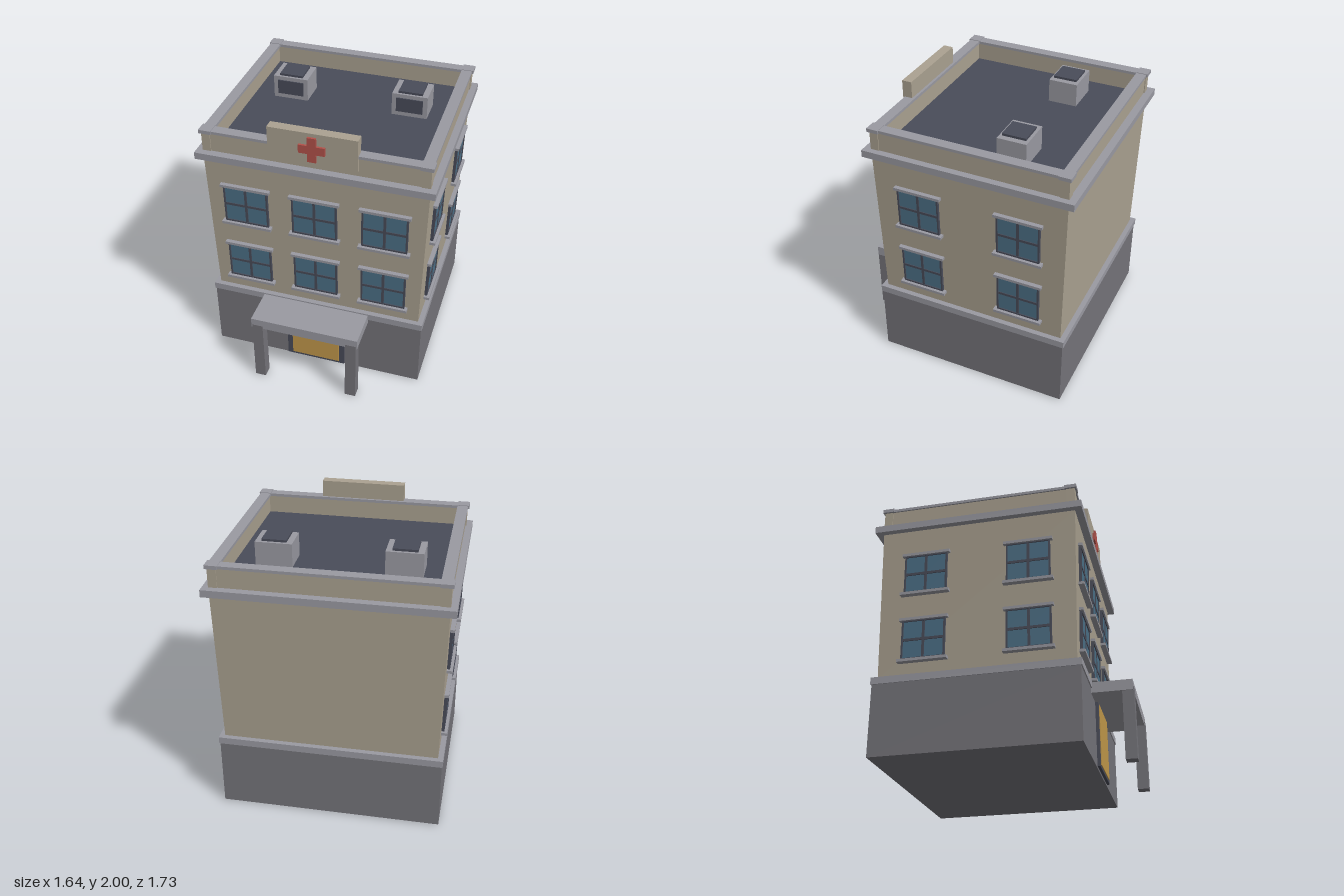
import * as THREE from 'three';

const mat = (name, color) => {
  const m = new THREE.MeshStandardMaterial({ color });
  m.name = name;
  return m;
};

const CZ = -0.12; // centre of the building in z

export function createModel() {
  const wall = mat('sand wall', 0xaba291);
  const trim = mat('light grey trim', 0x9a9aa2);
  const stone = mat('grey stone', 0x75747a);
  const dark = mat('dark slate', 0x494c59);
  const glass = mat('blue glass', 0x4d7188);
  const amber = mat('amber door', 0xc2994b);
  const red = mat('red', 0xb3524a);

  const model = new THREE.Group();
  model.name = 'building';

  const add = (parent, name, geometry, material, x = 0, y = 0, z = 0) => {
    const m = new THREE.Mesh(geometry, material);
    m.name = name;
    m.position.set(x, y, z);
    parent.add(m);
    return m;
  };
  // box given by its centre in x and z, and its bottom and top in y
  const block = (parent, name, material, w, y0, y1, d, x = 0, z = 0) =>
    add(parent, name, new THREE.BoxGeometry(w, y1 - y0, d), material, x, (y0 + y1) / 2, z);

  // rectangular ring lying flat, from half sizes
  const ring = (name, material, ox, oz, ix, iz, y0, y1) => {
    const rect = (Type, a, b) => {
      const s = new Type();
      s.moveTo(-a, -b);
      s.lineTo(a, -b);
      s.lineTo(a, b);
      s.lineTo(-a, b);
      s.closePath();
      return s;
    };
    const shape = rect(THREE.Shape, ox, oz);
    shape.holes.push(rect(THREE.Path, ix, iz));
    const g = new THREE.ExtrudeGeometry(shape, { depth: y1 - y0, bevelEnabled: false });
    g.rotateX(-Math.PI / 2);
    return add(model, name, g, material, 0, y0, CZ);
  };

  // ground floor and belt course
  block(model, 'groundFloor', stone, 1.56, 0.005, 0.51, 1.406, 0, CZ);
  block(model, 'beltCourse', trim, 1.572, 0.51, 0.56, 1.422, 0, CZ);

  // upper walls, widening slightly towards the top
  const Y0 = 0.56, Y1 = 1.675;
  const low = { x: 0.75, z: 0.675 }, high = { x: 0.775, z: 0.694 };
  const body = new THREE.BoxGeometry(2, Y1 - Y0, 2);
  const p = body.attributes.position;
  for (let i = 0; i < p.count; i++) {
    const s = p.getY(i) > 0 ? high : low;
    p.setX(i, p.getX(i) * s.x);
    p.setZ(i, p.getZ(i) * s.z);
  }
  body.computeVertexNormals();
  add(model, 'upperWalls', body, wall, 0, (Y0 + Y1) / 2, CZ);

  // cornice, roof deck and parapet
  block(model, 'cornice', trim, 1.636, 1.675, 1.725, 1.49, 0, CZ);
  block(model, 'roofDeck', dark, 1.45, 1.72, 1.732, 1.28, 0, CZ);
  ring('parapet', wall, 0.77, 0.69, 0.715, 0.635, 1.725, 1.862);
  ring('parapetCap', trim, 0.78, 0.7, 0.704, 0.626, 1.86, 1.88);
  for (const sx of [-1, 1]) {
    for (const sz of [-1, 1]) {
      block(model, 'parapetPost', wall, 0.06, 1.725, 1.862, 0.06, sx * 0.746, CZ + sz * 0.666);
      block(model, 'capCorner', trim, 0.086, 1.858, 1.884, 0.083, sx * 0.747, CZ + sz * 0.667);
    }
  }

  // window facing +z, with its origin on the wall surface
  const addWindow = (x, y, z, turn, tilt, w) => {
    const g = new THREE.Group();
    g.name = 'window';
    g.rotation.order = 'YXZ';
    g.rotation.set(tilt, turn, 0);
    g.position.set(x, y, z);
    const h = 0.29;
    block(g, 'windowBack', dark, w, -h / 2, h / 2, 0.03, 0, -0.007);
    for (const s of [-1, 1]) {
      block(g, 'frameSide', dark, 0.012, -h / 2, h / 2, 0.03, s * (w / 2 - 0.006), 0.005);
      block(g, 'frameRail', dark, w, s * (h / 2 - 0.006) - 0.006, s * (h / 2 - 0.006) + 0.006, 0.03, 0, 0.005);
      for (const t of [-1, 1]) {
        add(g, 'pane', new THREE.BoxGeometry(w / 2 - 0.022, h / 2 - 0.022, 0.006), glass,
          s * (w / 4 - 0.001), t * (h / 4 - 0.001), 0.01);
      }
    }
    block(g, 'mullion', dark, 0.018, -h / 2, h / 2, 0.03, 0, 0.002);
    block(g, 'crossBar', dark, w, -0.009, 0.009, 0.03, 0, 0.002);
    block(g, 'lintel', trim, w + 0.036, h / 2 - 0.004, h / 2 + 0.016, 0.05, 0, 0.005);
    block(g, 'sill', trim, w + 0.042, -h / 2 - 0.02, -h / 2, 0.06, 0, 0.01);
    model.add(g);
  };
  for (const y of [0.819, 1.319]) {
    const t = (y - Y0) / (Y1 - Y0);
    const wx = THREE.MathUtils.lerp(low.x, high.x, t);
    const wz = THREE.MathUtils.lerp(low.z, high.z, t);
    for (const x of [-0.49, 0, 0.49]) addWindow(x, y, CZ + wz, 0, 0.017, 0.318);
    for (const z of [0.243, -0.483]) {
      for (const s of [-1, 1]) addWindow(s * wx, y, z, s * Math.PI / 2, 0.022, 0.306);
    }
  }

  // entrance: door, frame, canopy and its posts
  block(model, 'doorFrame', dark, 0.44, 0.02, 0.476, 0.04, 0, 0.582);
  block(model, 'door', amber, 0.36, 0.04, 0.47, 0.006, 0, 0.604);
  block(model, 'canopy', trim, 0.784, 0.475, 0.55, 0.283, 0, 0.7215);
  for (const s of [-1, 1]) {
    block(model, 'canopyPost', stone, 0.078, 0, 0.5, 0.078, s * 0.345, 0.828);
  }

  // sign board with a cross
  block(model, 'signBoard', wall, 0.608, 1.768, 2, 0.07, 0, 0.559);
  const cross = new THREE.Shape();
  const a = 0.03, b = 0.09;
  [[-a, -b], [a, -b], [a, -a], [b, -a], [b, a], [a, a], [a, b], [-a, b], [-a, a], [-b, a], [-b, -a], [-a, -a]]
    .forEach(([x, y], i) => (i ? cross.lineTo(x, y) : cross.moveTo(x, y)));
  add(model, 'signCross', new THREE.ExtrudeGeometry(cross, { depth: 0.018, bevelEnabled: false }),
    red, 0, 1.884, 0.592);

  // rooftop air units
  for (const s of [-1, 1]) {
    const g = new THREE.Group();
    g.name = 'airUnit';
    g.position.set(s * 0.438, 0, -0.337);
    block(g, 'unitBody', trim, 0.254, 1.73, 1.898, 0.206);
    block(g, 'unitTop', dark, 0.17, 1.895, 1.914, 0.168, 0, 0.002);
    block(g, 'unitVent', dark, 0.19, 1.765, 1.87, 0.009, 0, 0.106);
    model.add(g);
  }
  return model;
}
